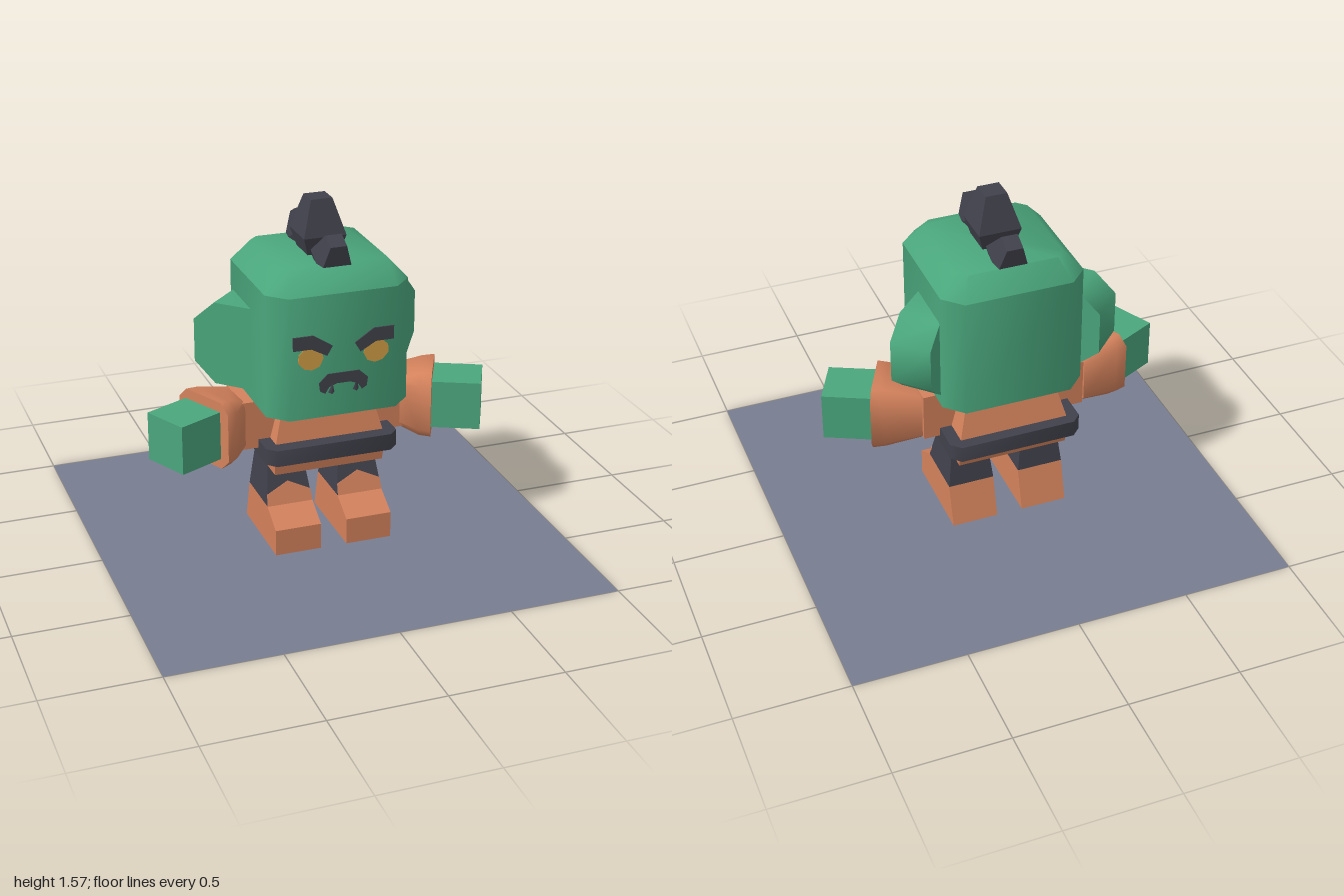
import * as THREE from 'three';
import { toCreasedNormals } from 'three/addons/utils/BufferGeometryUtils.js';

const mat = (name, color, side = THREE.FrontSide) => {
  const m = new THREE.MeshStandardMaterial({ color, side });
  m.name = name;
  return m;
};

// Rectangle with cut corners, counter-clockwise
function oct(hu, hv, c = 0) {
  if (!c) return [[hu, -hv], [hu, hv], [-hu, hv], [-hu, -hv]];
  return [[hu, -hv + c], [hu, hv - c], [hu - c, hv], [-hu + c, hv],
    [-hu, hv - c], [-hu, -hv + c], [-hu + c, -hv], [hu - c, -hv]];
}

// Horizontal ring at height y
const level = (y, hx, z0, z1, c = 0) =>
  oct(hx, (z1 - z0) / 2, c).map(([u, v]) => [u, y, (z0 + z1) / 2 - v]);

// Upright ring across an arm that points along angle a in plan
const across = (x, y, z, a, h, c) =>
  oct(h, h, c).map(([u, v]) => [x - Math.sin(a) * v, y + u, z + Math.cos(a) * v]);

// Skin a stack of rings, capped at both ends
function loft(rings) {
  const p = [], n = rings[0].length;
  for (let r = 0; r + 1 < rings.length; r++) {
    for (let i = 0; i < n; i++) {
      const j = (i + 1) % n, a = rings[r], b = rings[r + 1];
      p.push(...a[i], ...a[j], ...b[j], ...a[i], ...b[j], ...b[i]);
    }
  }
  const lo = rings[0], hi = rings[rings.length - 1];
  for (let i = 1; i + 1 < n; i++) {
    p.push(...hi[0], ...hi[i], ...hi[i + 1], ...lo[0], ...lo[i + 1], ...lo[i]);
  }
  const g = new THREE.BufferGeometry();
  g.setAttribute('position', new THREE.Float32BufferAttribute(p, 3));
  g.computeVertexNormals();
  return g;
}

const smooth = (g) => toCreasedNormals(g, 0.86);

// Extruded outline centred on its thickness
function slab(points, depth) {
  const shape = new THREE.Shape(points.map(([x, y]) => new THREE.Vector2(x, y)));
  return new THREE.ExtrudeGeometry(shape, { depth, bevelEnabled: false }).translate(0, 0, -depth / 2);
}

// Mirror in x, keeping faces outward
function mirrored(g) {
  const m = g.index ? g.toNonIndexed() : g.clone();
  for (const key of ['position', 'normal']) {
    const a = m.attributes[key];
    for (let i = 0; i < a.count; i += 3) {
      const v = [0, 2, 1].map((k) => [-a.getX(i + k), a.getY(i + k), a.getZ(i + k)]);
      v.forEach((q, k) => a.setXYZ(i + k, ...q));
    }
  }
  return m;
}

export function createModel() {
  const model = new THREE.Group();
  const green = mat('green skin', 0x4aa67c);
  const orange = mat('orange cloth', 0xd4825c);
  const dark = mat('charcoal', 0x41414c);
  const amber = mat('amber eye', 0xd2a046);
  const slate = mat('slate ground', 0x777c91, THREE.DoubleSide);

  const add = (name, g, m) => {
    const mesh = new THREE.Mesh(g, m);
    mesh.name = name;
    model.add(mesh);
  };
  const pair = (name, g, m) => {
    add('left' + name, g, m);
    add('right' + name, mirrored(g), m);
  };

  add('ground', new THREE.PlaneGeometry(2, 2).rotateX(-Math.PI / 2), slate);

  // Head: upright block with a bevelled crown
  add('head', smooth(loft([level(0.69, 0.32, -0.31, 0.325, 0.08), level(1.24, 0.32, -0.31, 0.325, 0.08)])), green);
  add('crown', smooth(loft([level(1.24, 0.32, -0.31, 0.325, 0.08), level(1.33, 0.24, -0.235, 0.245, 0.04)])), green);

  // Ears: thick plates swept backwards
  const ear = slab([[-0.3, 0.735], [-0.1, 0.735], [0, 0.825], [0, 1.02], [-0.1, 1.11], [-0.3, 1.11]], 0.187);
  ear.rotateY(Math.PI / 4).translate(0.45, 0, -0.21);
  pair('Ear', smooth(ear), green);

  // Crest of three spikes
  const spike = () => loft([level(-0.29, 0.055, -0.055, 0.055), level(-0.155, 0.095, -0.095, 0.095),
    level(0, 0.048, -0.048, 0.048)]);
  add('middleSpike', spike().translate(0, 1.565, 0.005), dark);
  for (const s of [1, -1]) {
    const g = spike().scale(0.75, 0.75, 0.75).rotateX(s * 0.49).translate(0, 1.437, 0.005 + s * 0.227);
    add(s > 0 ? 'frontSpike' : 'backSpike', g, dark);
  }

  // Face: thin plates on the front of the head
  pair('Eye', slab([[0.09, 0.96], [0.107, 0.925], [0.14, 0.912], [0.175, 0.92], [0.203, 0.95], [0.2, 0.985],
    [0.17, 1.015], [0.1, 1.0]], 0.004).translate(0, 0, 0.326), amber);
  pair('Brow', slab([[0.05, 1.012], [0.075, 0.97], [0.145, 1.008], [0.225, 1.008], [0.225, 1.068],
    [0.135, 1.068]], 0.008).translate(0, 0, 0.327), dark);
  add('mouth', slab([[-0.11, 0.848], [-0.105, 0.81], [-0.083, 0.797], [-0.065, 0.825], [-0.03, 0.838],
    [0.03, 0.838], [0.065, 0.825], [0.083, 0.797], [0.105, 0.81], [0.11, 0.848], [0.07, 0.885],
    [-0.07, 0.885]], 0.006).translate(0, 0, 0.326), dark);
  pair('Tusk', new THREE.ConeGeometry(0.014, 0.05, 4).rotateX(0.32).translate(0.055, 0.825, 0.335), dark);

  // Torso and belt
  add('torso', loft([level(0.36, 0.25, -0.24, 0.15), level(0.47, 0.258, -0.268, 0.168),
    level(0.69, 0.2, -0.21, 0.12)]), orange);
  add('belt', smooth(loft([level(0.435, 0.302, -0.31, 0.225, 0.04), level(0.51, 0.302, -0.31, 0.225, 0.04)])), dark);

  // Arms: straight sleeve, flared cuff turned forwards, block hand
  const turn = 0.45;
  pair('Sleeve', new THREE.BoxGeometry(0.27, 0.22, 0.22).translate(0.24, 0.58, -0.03), orange);
  pair('Cuff', smooth(loft([across(0.37, 0.58, -0.03, 0.1, 0.11, 0.02), across(0.485, 0.58, 0.02, turn, 0.15, 0.045),
    across(0.535, 0.58, 0.04, turn, 0.155, 0.045)])), orange);
  pair('Hand', new THREE.BoxGeometry(0.25, 0.22, 0.22).rotateY(-turn).translate(0.62, 0.58, 0.076), green);

  // Legs: tapered trousers, boots and pointed boot flaps
  const thigh = loft([level(0.185, 0.105, -0.16, 0.1), level(0.365, 0.084, -0.14, 0.04)]);
  pair('Thigh', thigh.translate(0.165, 0, 0), dark);
  const boot = slab([[-0.21, 0], [0.215, 0], [0.215, 0.12], [0.1, 0.185], [-0.16, 0.185]], 0.21);
  pair('Boot', boot.rotateY(-Math.PI / 2).translate(0.165, 0, 0), orange);
  const flap = slab([[-0.104, 0], [0.104, 0], [0.1, 0.053], [0, 0.102], [-0.1, 0.053]], 0.008);
  pair('BootFlap', flap.rotateX(-0.325).translate(0.165, 0.185, 0.101), orange);

  return model;
}
